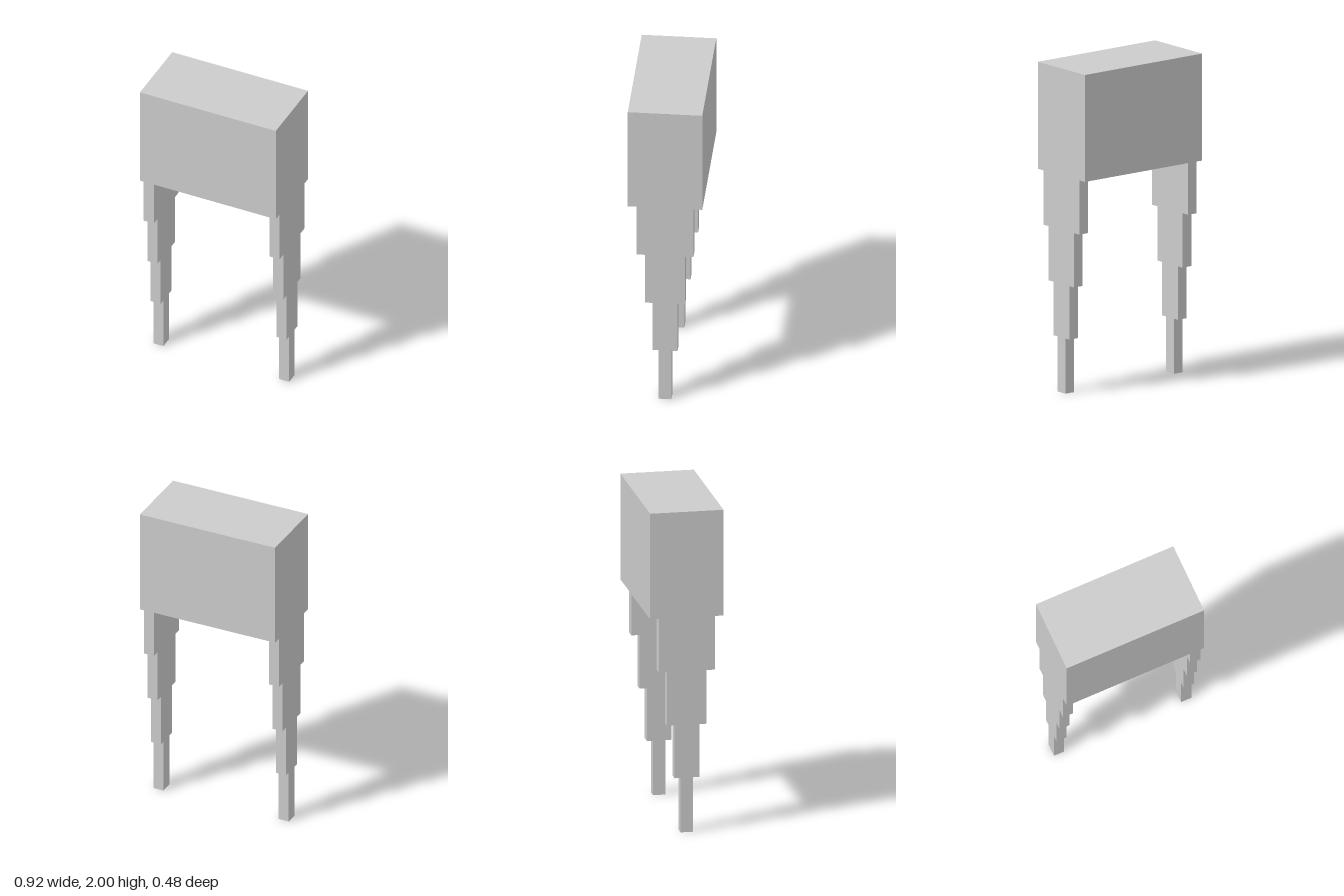
import * as THREE from 'three';

const WIDTH = 0.905, DEPTH = 0.45, BODY_Y = 1.34, TOP_Y = 2;
const LEG_WIDTH = 0.067;
// Stepped leg tiers from the ground up: depth and top height
const TIERS = [[0.078, 0.34], [0.152, 0.67], [0.242, 1.005], [0.343, BODY_Y]];

// Symmetric stepped outline, extruded across the leg's width
function legGeometry() {
  const side = [];
  let y = 0;
  for (const [depth, top] of TIERS) {
    side.push([depth / 2, y], [depth / 2, top]);
    y = top;
  }
  const outline = [...side, ...side.map(([z, h]) => [-z, h]).reverse()];
  const shape = new THREE.Shape(outline.map(([z, h]) => new THREE.Vector2(z, h)));
  const geometry = new THREE.ExtrudeGeometry(shape, { depth: LEG_WIDTH, bevelEnabled: false });
  return geometry.translate(0, 0, -LEG_WIDTH / 2).rotateY(Math.PI / 2);
}

export function createModel() {
  const model = new THREE.Group();
  model.name = 'steppedLegBlock';
  const material = new THREE.MeshStandardMaterial({ color: 0xcccccc, flatShading: true });

  // Upper block
  const body = new THREE.Mesh(new THREE.BoxGeometry(WIDTH, TOP_Y - BODY_Y, DEPTH), material);
  body.name = 'body';
  body.position.y = (TOP_Y + BODY_Y) / 2;
  model.add(body);

  // Two legs, flush with the ends of the block
  const geometry = legGeometry();
  for (const [name, s] of [['leftLeg', 1], ['rightLeg', -1]]) {
    const leg = new THREE.Mesh(geometry, material);
    leg.name = name;
    leg.position.x = s * (WIDTH - LEG_WIDTH) / 2;
    model.add(leg);
  }

  // Slight turn about the vertical axis
  model.rotation.y = -0.036;
  return model;
}
